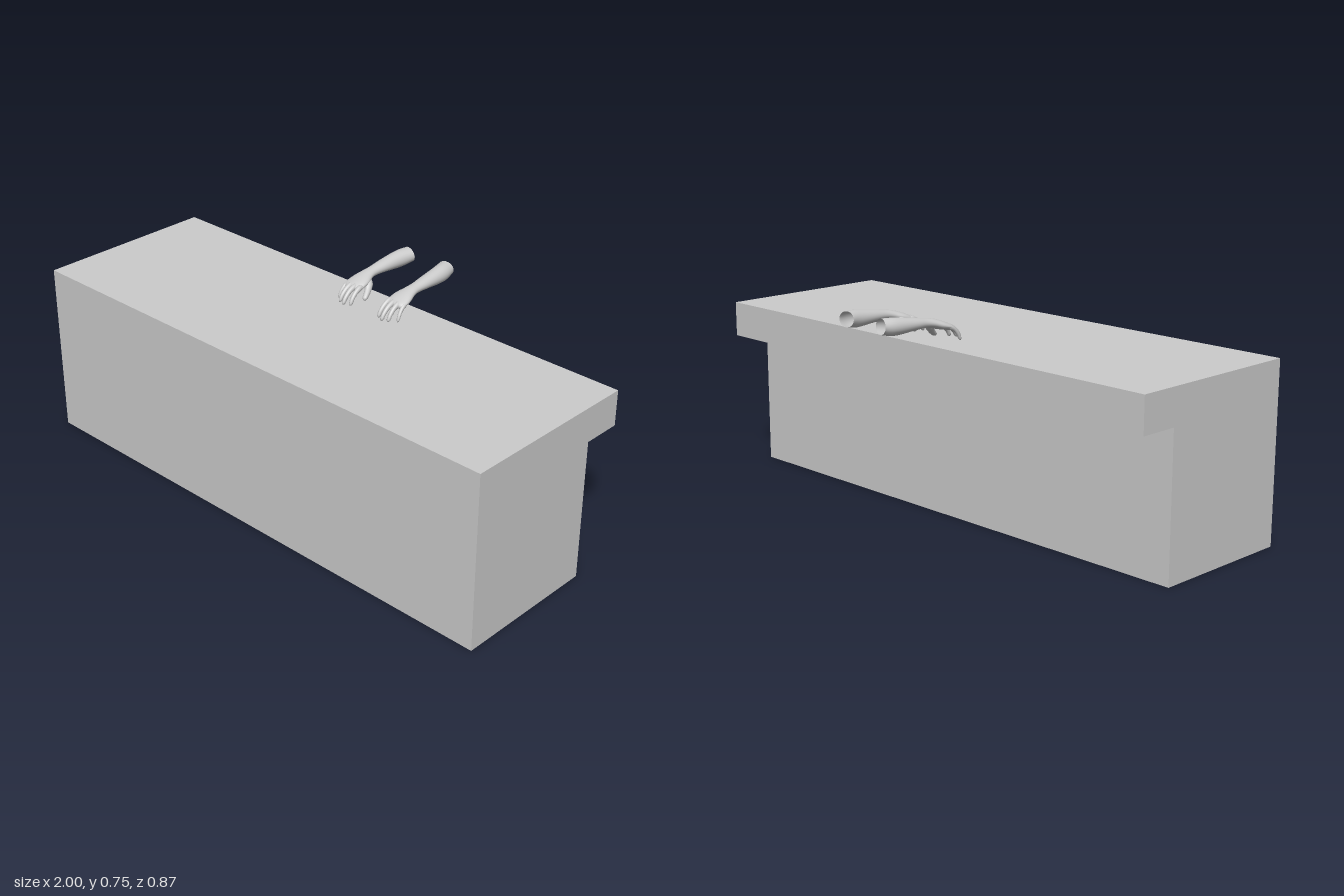
import * as THREE from 'three';

const material = new THREE.MeshStandardMaterial({ color: 0xcccccc, side: THREE.DoubleSide });
const MID = 0.0475; // the two arms mirror about this x

// Smooth tube through elliptical sections [offset from MID, y, z, half width, half height]
function limb(name, sections, mirror, rows, sides) {
  const path = new THREE.CatmullRomCurve3(sections.map(s => new THREE.Vector3(s[0], s[1], s[2])), false, 'catmullrom', 0.5);
  const size = new THREE.CatmullRomCurve3(sections.map(s => new THREE.Vector3(s[3], s[4], 0)), false, 'catmullrom', 0.5);
  const up = new THREE.Vector3(0, 1, 0);
  const positions = [], index = [];
  for (let i = 0; i <= rows; i++) {
    const c = path.getPoint(i / rows), r = size.getPoint(i / rows), t = path.getTangent(i / rows);
    const side = new THREE.Vector3().crossVectors(up, t).normalize();
    const normal = new THREE.Vector3().crossVectors(t, side);
    for (let j = 0; j < sides; j++) {
      const a = j / sides * Math.PI * 2;
      const p = c.clone().addScaledVector(side, r.x * Math.cos(a)).addScaledVector(normal, r.y * Math.sin(a));
      positions.push(MID + mirror * p.x, p.y, p.z);
      if (i === rows) continue;
      const k = (j + 1) % sides, A = i * sides + j, B = i * sides + k, C = A + sides, D = B + sides;
      if (mirror > 0) index.push(A, B, C, B, D, C);
      else index.push(A, C, B, B, C, D);
    }
  }
  const g = new THREE.BufferGeometry();
  g.setAttribute('position', new THREE.Float32BufferAttribute(positions, 3));
  g.setIndex(index);
  g.computeVertexNormals();
  const mesh = new THREE.Mesh(g, material);
  mesh.name = name;
  return mesh;
}

function createArm(name, mirror) {
  const arm = new THREE.Group();
  arm.name = name;

  // Forearm, wrist and palm, open at the elbow end
  arm.add(limb('forearmAndPalm', [
    [0.086, 0.727, -0.428, 0.031, 0.027],
    [0.095, 0.722, -0.38, 0.031, 0.030],
    [0.099, 0.719, -0.30, 0.026, 0.022],
    [0.100, 0.716, -0.25, 0.022, 0.017],
    [0.100, 0.712, -0.22, 0.026, 0.016],
    [0.099, 0.703, -0.188, 0.037, 0.016],
    [0.100, 0.695, -0.16, 0.040, 0.013],
    [0.100, 0.688, -0.144, 0.036, 0.010],
    [0.100, 0.684, -0.136, 0.012, 0.002],
  ], mirror, 40, 24));

  // Fingers curving down to the counter: knuckle offset, tip offset, knuckle z, tip z
  const fingers = {
    indexFinger: [0.070, 0.066, -0.153, -0.098],
    middleFinger: [0.091, 0.090, -0.149, -0.087],
    ringFinger: [0.111, 0.113, -0.153, -0.095],
    littleFinger: [0.130, 0.138, -0.162, -0.117],
  };
  for (const [part, [u0, u1, z0, z1]] of Object.entries(fingers)) {
    const r = part === 'littleFinger' ? 0.0075 : 0.009;
    const at = (f, g, y, k) => [u0 + (u1 - u0) * f, y, z0 + (z1 - z0) * g, r * k, r * k];
    arm.add(limb(part, [
      at(0, -0.2, 0.695, 0.8), at(0.2, 0.1, 0.693, 1.1), at(0.5, 0.48, 0.683, 0.95), at(0.8, 0.78, 0.667, 0.85),
      at(0.95, 0.93, 0.653, 0.75), at(1, 0.98, 0.647, 0.5), at(1, 1, 0.644, 0.02),
    ], mirror, 20, 12));
  }

  // Thumb on the inner side
  arm.add(limb('thumb', [
    [0.080, 0.700, -0.212, 0.008, 0.008],
    [0.068, 0.692, -0.195, 0.014, 0.014],
    [0.058, 0.677, -0.178, 0.012, 0.012],
    [0.052, 0.665, -0.163, 0.010, 0.010],
    [0.049, 0.657, -0.152, 0.008, 0.007],
    [0.048, 0.654, -0.147, 0.0002, 0.0002],
  ], mirror, 20, 12));
  return arm;
}

export function createModel() {
  const model = new THREE.Group();
  model.name = 'counterWithArms';

  // Counter block with a ledge overhanging the back, drawn as (z, y)
  const profile = new THREE.Shape([
    [-0.105, 0], [0.435, 0], [0.435, 0.642], [-0.248, 0.642], [-0.248, 0.514], [-0.105, 0.514],
  ].map(([z, y]) => new THREE.Vector2(z, y)));
  const block = new THREE.ExtrudeGeometry(profile, { depth: 2, bevelEnabled: false });
  block.rotateY(-Math.PI / 2).translate(1, 0, 0);
  const counter = new THREE.Mesh(block, new THREE.MeshStandardMaterial({ color: 0xcccccc }));
  counter.name = 'counter';
  model.add(counter);

  model.add(createArm('leftArm', 1), createArm('rightArm', -1));
  return model;
}
